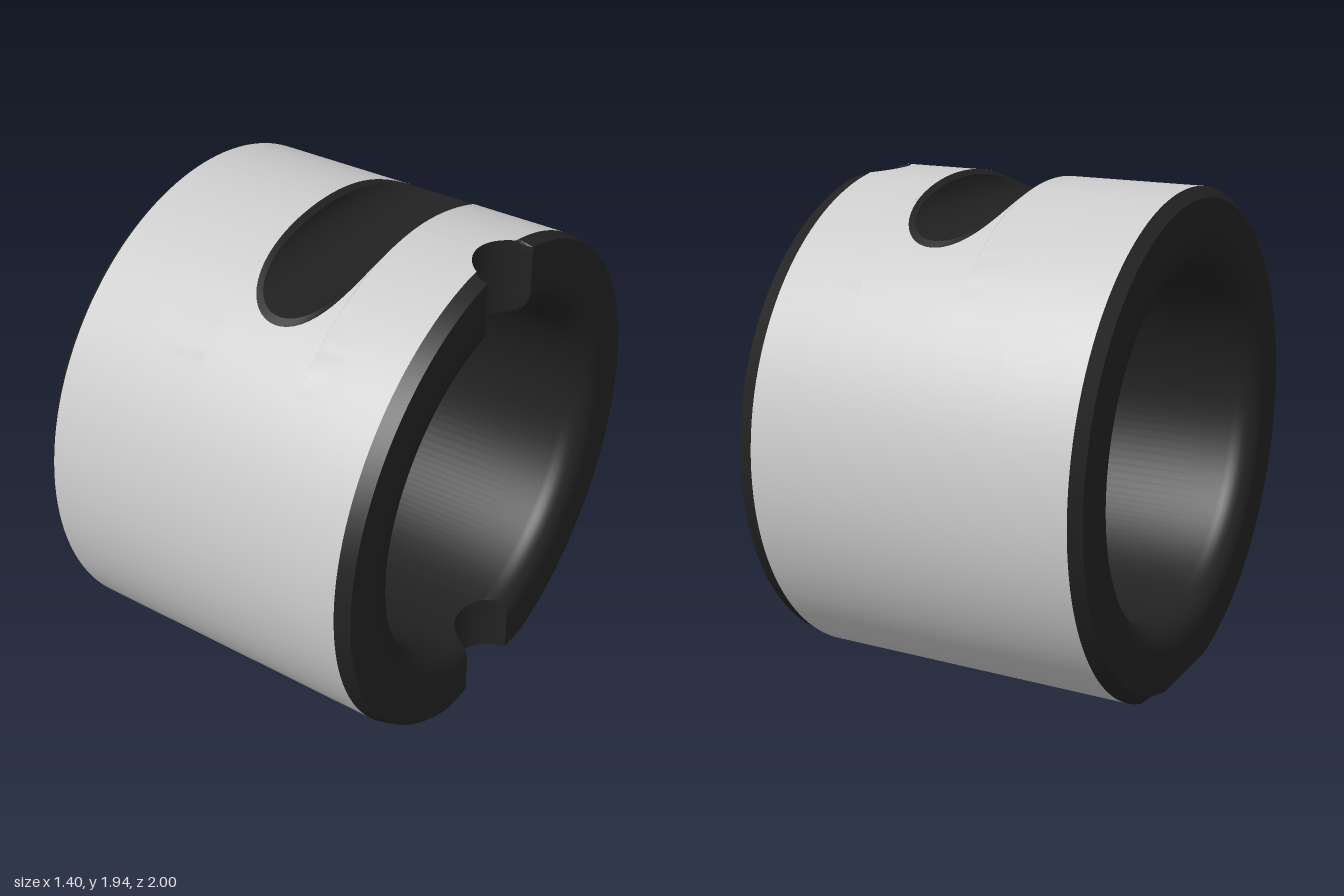
import * as THREE from 'three';
import { toCreasedNormals } from 'three/addons/utils/BufferGeometryUtils.js';

const CY = 0.94;                        // height of the bore axis
const FLAT = Math.acos(CY);             // half angle of the bottom flat
const NOTCH_R = 0.16, NOTCH_X = 0.725, NOTCH_Z = 0.158;
const GROOVE_X = 0.1, BLEND = 0.9;

// Surface through a grid of points: point(row, column) returns [x, y, z]
function grid(rows, cols, point) {
  const pos = [], index = [];
  rows.forEach((r, i) => cols.forEach((c, j) => {
    pos.push(...point(r, c));
    if (i + 1 < rows.length && j + 1 < cols.length) {
      const a = i * cols.length + j, b = a + cols.length;
      index.push(a, b, a + 1, a + 1, b, b + 1);
    }
  }));
  const g = new THREE.BufferGeometry();
  g.setAttribute('position', new THREE.Float32BufferAttribute(pos, 3));
  g.setIndex(index);
  return toCreasedNormals(g, 0.5);
}

// n steps from a to b, without b
const steps = (a, b, n) => Array.from({ length: n }, (_, i) => a + (b - a) * i / n);

// Angles round the axis, 0 at the top, with lines on the notch and flat edges
const notchAngles = Array.from({ length: 13 }, (_, k) => Math.asin(NOTCH_Z * Math.sin(k / 12 * Math.PI / 2)));
const nA = notchAngles[12];
const half = [
  ...notchAngles.slice(0, 12), ...steps(nA, BLEND, 20),
  ...steps(BLEND, Math.PI - BLEND, 28), ...steps(Math.PI - BLEND, Math.PI - FLAT, 14),
  ...steps(Math.PI - FLAT, Math.PI - nA, 8),
  ...notchAngles.map((a) => Math.PI - a).reverse(),
];
const angles = [...half, ...half.slice(0, -1).reverse().map((a) => 2 * Math.PI - a)];

// Keep the notch edges straight at every radius
function warp(a, r) {
  const near = Math.round(a / Math.PI) * Math.PI, d = a - near, s = Math.abs(d);
  const n = Math.asin(NOTCH_Z / r);
  const w = s < nA ? s * n / nA : s < BLEND ? n + (s - nA) * (BLEND - n) / (BLEND - nA) : s;
  return near + Math.sign(d) * w;
}

// Point of the ring, cut by the bottom flat and the end notches
function ringPoint(x, r, a) {
  const t = warp(a, r), z = r * Math.sin(t);
  const y = Math.max(0, CY + r * Math.cos(t));
  const cut = Math.abs(z) < NOTCH_Z + 1e-6 ? NOTCH_X - Math.sqrt(NOTCH_R ** 2 - z * z) : 9;
  return [Math.min(x, cut), y, z];
}

// Quarter round between an end face and the bore
const fillet = (x, s) => Array.from({ length: 9 }, (_, i) => {
  const t = i / 8 * Math.PI / 2;
  return [x + s * 0.1 * Math.sin(t), 0.8 - 0.1 * Math.cos(t)];
});

export function createModel() {
  const group = new THREE.Group();
  const steel = new THREE.MeshStandardMaterial({ color: 0xcccccc });
  const dark = new THREE.MeshStandardMaterial({ color: 0x222222 });
  const add = (name, geometry, material) => {
    const mesh = new THREE.Mesh(geometry, material);
    mesh.name = name;
    group.add(mesh);
  };

  // Outer wall, opened at the top around the cross groove
  const sweep = Array.from({ length: 41 }, (_, k) => Math.PI * (1 - Math.cos(Math.PI * k / 40)) / 2);
  const rimAngle = (t) => Math.acos(Math.min(1, 1 - 0.19 * Math.sin(t)));
  const columns = [
    { x: -0.66, gap: 0 }, { x: -0.35, gap: 0 },
    ...sweep.map((t) => ({ x: GROOVE_X - 0.205 * Math.cos(t), gap: rimAngle(t) })),
    { x: 0.45, gap: 0 }, { x: 0.64, gap: 0 },
  ];
  const open = (a, gap) => {
    if (a < BLEND) return gap + a * (BLEND - gap) / BLEND;
    const b = 2 * Math.PI - a;
    return b < BLEND ? 2 * Math.PI - gap - b * (BLEND - gap) / BLEND : a;
  };
  const outer = (a, c) => ringPoint(c.x, 1, open(a, c.gap));
  const e = 1e-6;
  add('outerWallFront', grid(angles.filter((a) => a < Math.PI - FLAT + e), columns, outer), steel);
  add('outerWallBack', grid(angles.filter((a) => a > Math.PI + FLAT - e), columns, outer), steel);

  // Flat foot
  const foot = angles.filter((a) => Math.abs(a - Math.PI) < FLAT + e);
  add('bottomFlat', grid(foot, columns, outer), dark);

  // End faces with chamfers and rounded bore edges, and the bore between them
  const radii = [0.96, 0.92, 0.88, 0.84];
  const profile = [
    [0.64, 1], [0.7, 0.985], ...radii.map((r) => [0.7, r]), ...fillet(0.6, 1).reverse(),
    ...fillet(-0.6, -1), ...radii.slice().reverse().map((r) => [-0.7, r]), [-0.66, 1],
  ];
  add('endsAndBore', grid(angles, profile, (a, p) => ringPoint(p[0], p[1], a)), dark);

  // Cross groove: broken rim and a straight round-bottomed channel
  const channel = (row, t) => {
    const rimZ = Math.sin(rimAngle(t)), s = Math.sin(t), c = Math.cos(t);
    const [side, inner] = row;
    return inner
      ? [GROOVE_X - 0.185 * c, CY + 0.98 - 0.15 * s, side * rimZ * 0.955]
      : [GROOVE_X - 0.205 * c, CY + 1 - 0.19 * s, side * rimZ];
  };
  add('crossGroove', grid([[-1, 0], [-1, 1], [1, 1], [1, 0]], sweep, channel), dark);

  return group;
}
